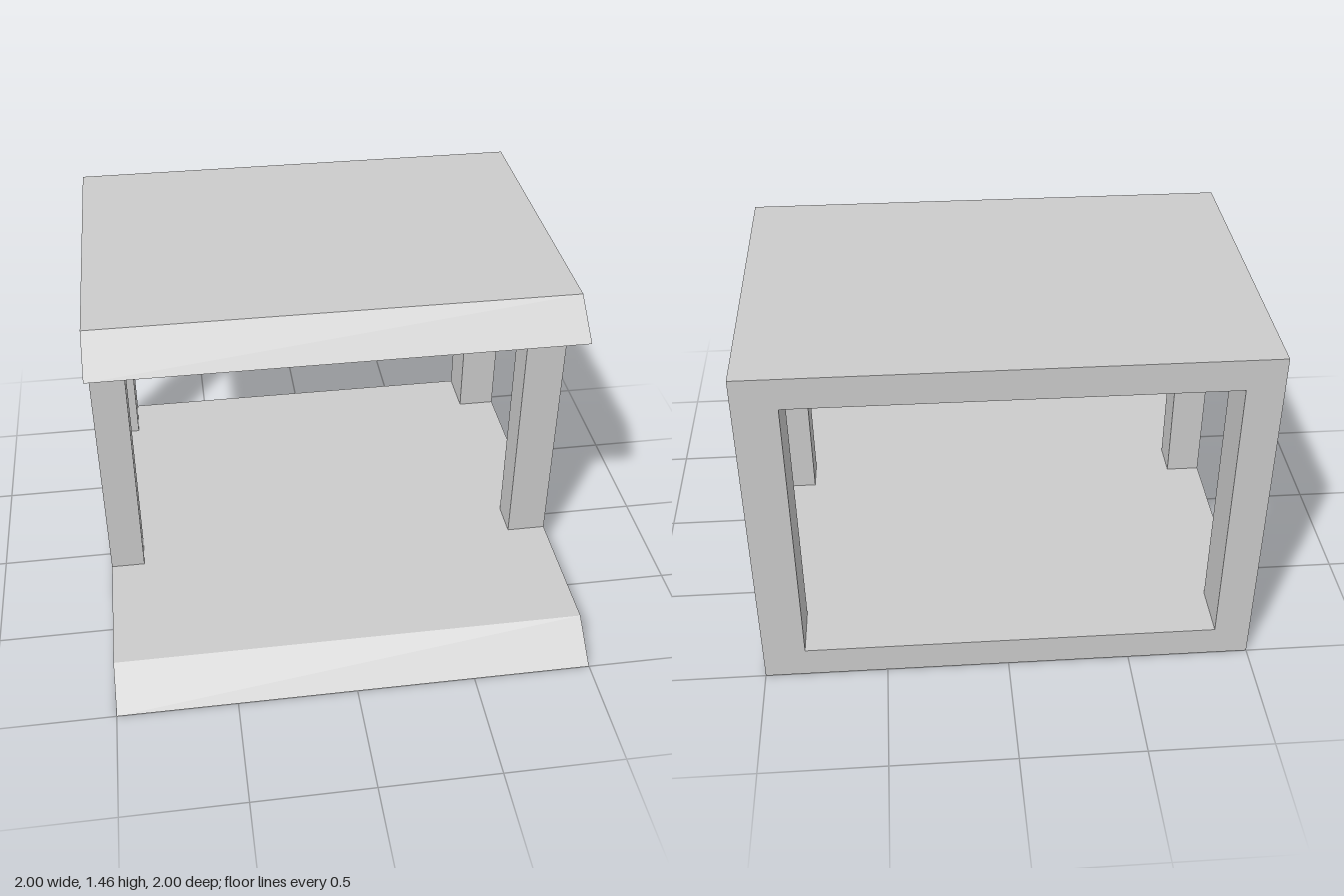
import * as THREE from 'three';

const material = new THREE.MeshStandardMaterial({ color: 0xcccccc, flatShading: true });
const THICK = 0.13, ROOF_Y = 1.33, BACK = -1;

// Full-width slab whose front edge slopes back from a sharp lower lip
function slab(name, y, lipZ, topZ) {
  const profile = new THREE.Shape([
    new THREE.Vector2(-lipZ, 0),
    new THREE.Vector2(-BACK, 0),
    new THREE.Vector2(-BACK, THICK),
    new THREE.Vector2(-topZ, THICK),
  ]);
  const geometry = new THREE.ExtrudeGeometry(profile, { depth: 2, bevelEnabled: false });
  geometry.translate(0, 0, -1).rotateY(Math.PI / 2); // profile x becomes -z
  const mesh = new THREE.Mesh(geometry, material);
  mesh.name = name;
  mesh.position.y = y;
  return mesh;
}

// Upright post between floor and roof
function post(name, x0, x1, z0, z1) {
  const height = ROOF_Y - THICK;
  const mesh = new THREE.Mesh(new THREE.BoxGeometry(x1 - x0, height, z1 - z0), material);
  mesh.name = name;
  mesh.position.set((x0 + x1) / 2, THICK + height / 2, (z0 + z1) / 2);
  return mesh;
}

export function createModel() {
  const group = new THREE.Group();
  group.name = 'openShelter';

  group.add(slab('floor', 0, 1, 0.825));
  group.add(slab('roof', ROOF_Y, 0.52, 0.35));

  // Front and back pairs; the left posts are slightly wider than the right ones
  const rows = [['front', 0.08, 0.235], ['back', BACK, -0.78]];
  const sides = [['Left', 0.83, 1], ['Right', -1, -0.855]];
  for (const [row, z0, z1] of rows) {
    for (const [side, x0, x1] of sides) group.add(post(`${row}${side}Post`, x0, x1, z0, z1));
  }
  return group;
}
